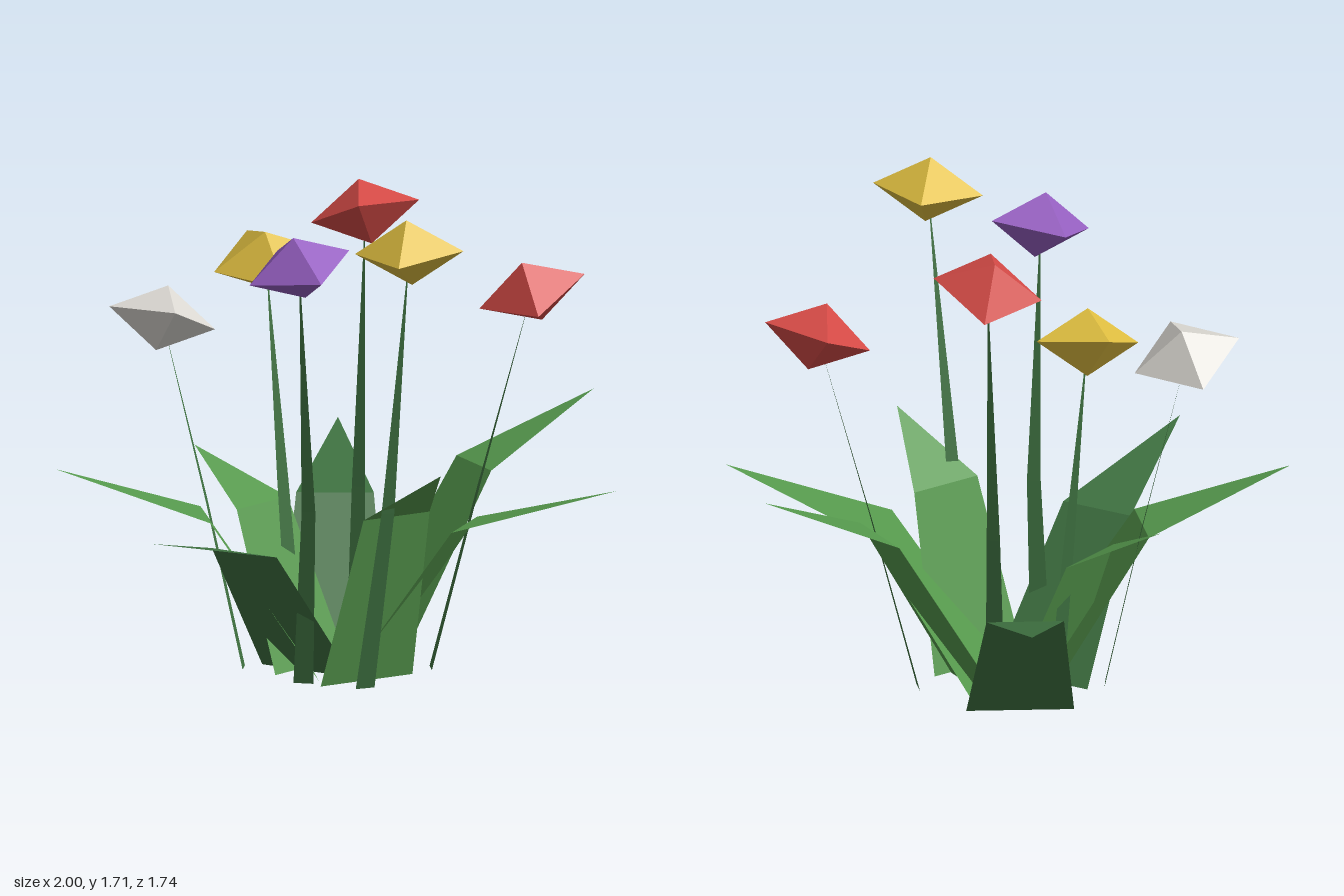
import * as THREE from 'three';

const material = (name, color, extra = {}) => {
  const m = new THREE.MeshStandardMaterial({ color, flatShading: true, ...extra });
  m.name = name;
  return m;
};

const V = (p) => new THREE.Vector3(...p);

// Faceted geometry from a list of triangle corners
function facets(points) {
  const g = new THREE.BufferGeometry().setFromPoints(points);
  g.computeVertexNormals();
  return g;
}

// Folded blade: a tapering strip from base to bend, then a triangle to the tip
function blade(base, bend, tip, baseHalf, bendHalf) {
  const side = new THREE.Vector3(tip.z - bend.z, 0, bend.x - tip.x).normalize();
  const at = (p, w) => p.clone().addScaledVector(side, w);
  const a = at(base, -baseHalf), b = at(base, baseHalf);
  const c = at(bend, bendHalf), d = at(bend, -bendHalf);
  return facets([a, b, c, a, c, d, d, c, tip]);
}

// Flower head: squat octahedron between two apexes, one corner turned towards (cx, cz)
function bloom(bottom, top, [cx, cz]) {
  const centre = bottom.clone().lerp(top, 0.5);
  const axis = top.clone().sub(bottom).normalize();
  const u = new THREE.Vector3(cx, 0, cz);
  u.addScaledVector(axis, -u.dot(axis)).normalize();
  const v = axis.clone().cross(u);
  const ring = [0, 1, 2, 3].map((i) => centre.clone()
    .addScaledVector(u, 0.19 * Math.cos(i * Math.PI / 2))
    .addScaledVector(v, 0.19 * Math.sin(i * Math.PI / 2)));
  const points = [];
  ring.forEach((p, i) => {
    const q = ring[(i + 1) % 4];
    points.push(p, q, top, q, p, bottom);
  });
  return facets(points);
}

export function createModel() {
  const group = new THREE.Group();
  group.name = 'flowerClump';
  const light = material('lightGreen', 0x56994d, { side: THREE.DoubleSide });
  const dark = material('darkGreen', 0x3f7241, { side: THREE.DoubleSide });
  const yellow = material('petalYellow', 0xdfbe40);
  const red = material('petalRed', 0xd44a46);
  const purple = material('petalPurple', 0x955fc0);
  const white = material('petalWhite', 0xdbd8d2);

  const add = (name, geometry, mat) => {
    const mesh = new THREE.Mesh(geometry, mat);
    mesh.name = name;
    group.add(mesh);
  };

  // Broad leaves: base, bend, tip, colour
  const leaves = [
    [[0.155, 0, -0.185], [0.39, 0.48, -0.475], [0.71, 0.63, -0.87], dark],
    [[0.145, 0, 0.04], [0.545, 0.665, 0.10], [0.995, 0.88, 0.19], light],
    [[0.065, 0, 0.09], [0.27, 0.54, 0.40], [0.57, 0.70, 0.865], light],
    [[-0.01, 0, 0.215], [-0.02, 0.61, 0.395], [-0.05, 0.805, 0.68], light],
    [[-0.08, 0, -0.025], [-0.455, 0.49, 0.105], [-1.0, 0.63, 0.29], dark],
    [[-0.057, 0, -0.025], [-0.375, 0.555, -0.215], [-0.82, 0.73, -0.48], light],
    [[-0.027, 0, -0.075], [-0.07, 0.54, -0.29], [-0.13, 0.70, -0.59], light],
  ];
  leaves.forEach(([a, b, c, mat], i) =>
    add(`leaf${i + 1}`, blade(V(a), V(b), V(c), 0.185, 0.133), mat));

  // Flowers: stem base, stem bend, head bottom, head top, corner heading, colour
  const flowers = [
    [[-0.09, 0, 0.31], [-0.10, 0.64, 0.45], [-0.135, 1.48, 0.63], [-0.16, 1.71, 0.63], [0.145, -0.125], yellow],
    [[-0.21, 0, 0.12], [-0.25, 0.62, 0.20], [-0.33, 1.40, 0.285], [-0.39, 1.62, 0.295], [0.05, -0.175], purple],
    [[0.14, 0, -0.04], [0.18, 0.60, -0.075], [0.23, 1.45, -0.065], [0.24, 1.66, -0.15], [0.13, 0.13], red],
    [[0.28, 0, 0.20], [0.41, 0.64, 0.30], [0.615, 1.21, 0.39], [0.52, 1.425, 0.40], [0.15, 0.09], red],
    [[0.0, 0, -0.19], [0.0, 0.62, -0.265], [0.03, 1.265, -0.39], [-0.03, 1.48, -0.325], [0.17, 0.05], yellow],
    [[-0.22, 0, -0.20], [-0.31, 0.58, -0.29], [-0.46, 1.115, -0.38], [-0.38, 1.325, -0.415], [0.16, 0.07], white],
  ];
  flowers.forEach(([base, bend, bottom, top, heading, mat], i) => {
    const low = V(bottom), high = V(top);
    const centre = low.clone().lerp(high, 0.5);
    add(`stem${i + 1}`, blade(V(base), V(bend), centre, 0.035, 0.024), dark);
    add(`flowerHead${i + 1}`, bloom(low, high, heading), mat);
  });

  return group;
}
